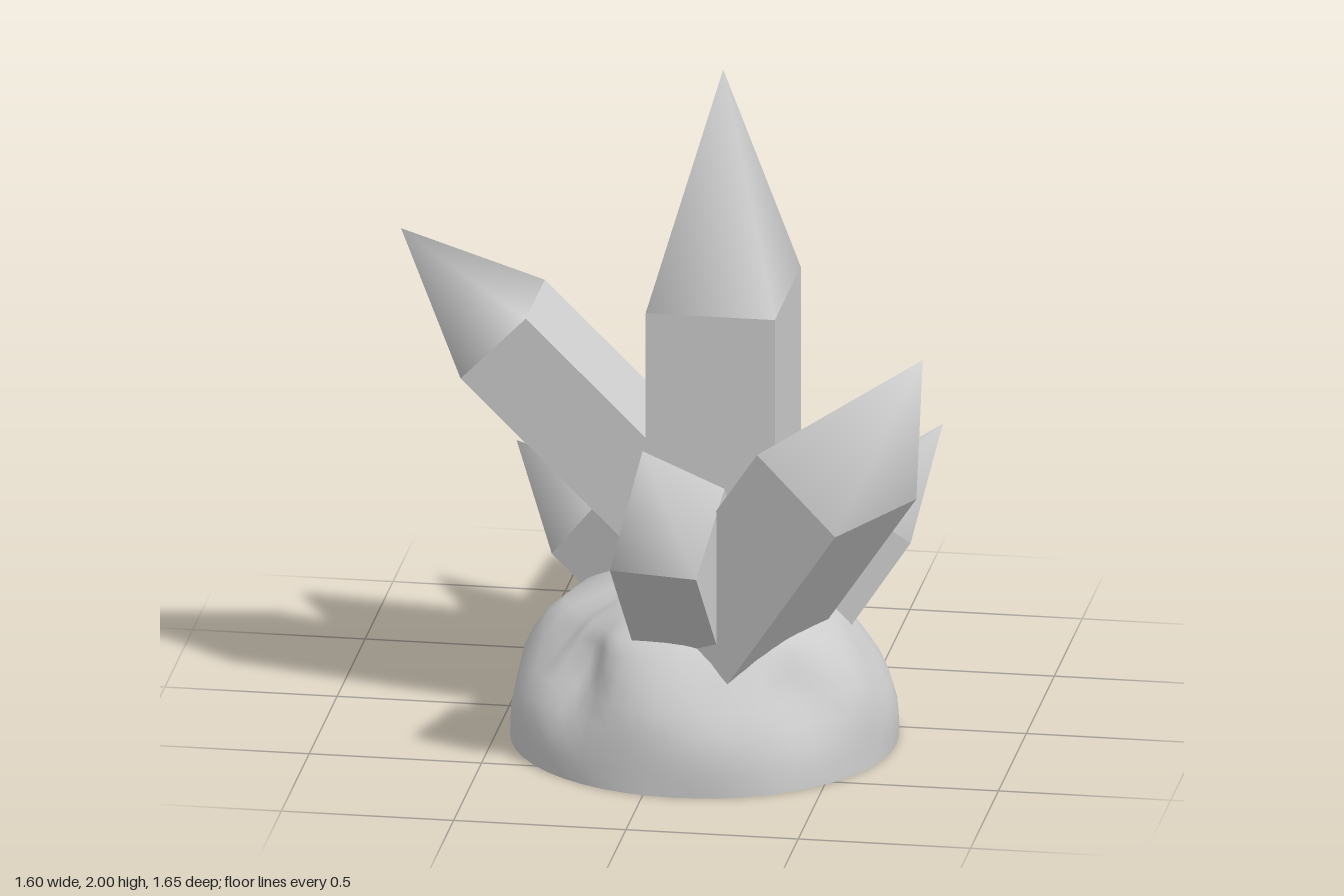
import * as THREE from 'three';
import { mergeVertices } from 'three/addons/utils/BufferGeometryUtils.js';

const material = new THREE.MeshStandardMaterial({ color: 0xcccccc });
const ROCK = { x: 0.09, z: 0.15, radius: 0.557 };

// Shared vertices give soft, continuous normals
function smooth(geometry) {
  geometry.deleteAttribute('normal');
  geometry.deleteAttribute('uv');
  const merged = mergeVertices(geometry, 1e-4);
  merged.computeVertexNormals();
  return merged;
}

// Four-sided prism with a pyramid point. shoulder = centre of the seam between
// the two, side = direction of the width, baseY = height of the buried end.
function crystal({ name, shoulder, tip, side, width, depth, baseY = 0.25 }) {
  const centre = new THREE.Vector3(...shoulder);
  const axis = new THREE.Vector3(...tip).sub(centre);
  const tipLength = axis.length();
  axis.normalize();
  const z = new THREE.Vector3(...side).cross(axis).normalize();
  const x = axis.clone().cross(z);
  const length = (centre.y - baseY) / axis.y;

  const group = new THREE.Group();
  group.name = name;
  const shaft = new THREE.Mesh(new THREE.BoxGeometry(width, length, depth), material);
  shaft.name = 'crystalShaft';
  shaft.position.y = -length / 2;

  const cone = new THREE.ConeGeometry(Math.SQRT1_2, tipLength, 4, 1, true);
  cone.rotateY(Math.PI / 4);
  cone.scale(width, 1, depth);
  const point = new THREE.Mesh(smooth(cone), material);
  point.name = 'crystalPoint';
  point.position.y = tipLength / 2;

  group.add(shaft, point);
  group.quaternion.setFromRotationMatrix(new THREE.Matrix4().makeBasis(x, axis, z));
  group.position.copy(centre);
  return group;
}

// Dents in the rock: angle from +z towards +x, height, depth, spread
const DENTS = [
  [-0.75, 0.30, 0.07, 0.16],
  [-1.15, 0.36, 0.05, 0.14],
  [0.75, 0.27, 0.04, 0.2],
  [2.55, 0.32, 0.09, 0.17],
  [2.0, 0.36, 0.04, 0.15],
  [-2.5, 0.3, 0.05, 0.2],
];

// Lumpy mound: a lathe with its radius moved in and out
function rock() {
  const profile = [
    [0.557, 0], [0.556, 0.06], [0.55, 0.12], [0.535, 0.18], [0.51, 0.24], [0.475, 0.3],
    [0.435, 0.36], [0.39, 0.4], [0.32, 0.43], [0.22, 0.48], [0.11, 0.51], [0, 0.52],
  ].map(([r, y]) => new THREE.Vector2(r, y));
  const geometry = new THREE.LatheGeometry(profile, 48);
  const p = geometry.attributes.position;
  for (let i = 0; i < p.count; i++) {
    const x = p.getX(i), y = p.getY(i), z = p.getZ(i);
    const r = Math.hypot(x, z);
    if (r < 1e-6) continue;
    const a = Math.atan2(x, z);
    const fade = Math.min(1, y / 0.25) * Math.min(1, r / 0.3);
    let offset = 0.012 * Math.sin(5 * a + 9 * y) + 0.009 * Math.sin(9 * a - 14 * y + 1);
    for (const [angle, height, deep, spread] of DENTS) {
      const da = Math.atan2(Math.sin(a - angle), Math.cos(a - angle));
      offset -= deep * Math.exp(-((da / spread) ** 2) - ((y - height) / 0.12) ** 2);
    }
    const k = (r + offset * fade) / r;
    p.setXYZ(i, x * k, y, z * k);
  }
  const group = new THREE.Group();
  group.name = 'rockBase';
  const mound = new THREE.Mesh(smooth(geometry), material);
  mound.name = 'rockMound';
  const underside = new THREE.Mesh(new THREE.CircleGeometry(ROCK.radius, 48), material);
  underside.name = 'rockUnderside';
  underside.rotation.x = Math.PI / 2;
  group.add(mound, underside);
  group.position.set(ROCK.x, 0, ROCK.z);
  return group;
}

const CRYSTALS = [
  { name: 'centralCrystal', shoulder: [0.135, 1.33, 0.09], tip: [0.135, 2, 0.09], side: [1, 0, 0], width: 0.375, depth: 0.465 },
  { name: 'rightCrystal', shoulder: [-0.505, 1.175, 0.09], tip: [-0.8, 1.465, 0.09], side: [1, 1, 0], width: 0.27, depth: 0.34, baseY: 0.35 },
  { name: 'frontLeftCrystal', shoulder: [0.53, 0.925, 0.495], tip: [0.8, 1.34, 0.62], side: [0.25, -0.19, 0.12], width: 0.335, depth: 0.41 },
  { name: 'frontCrystal', shoulder: [0.055, 0.775, 0.6], tip: [0.02, 1.09, 0.825], side: [0.255, 0, 0.04], width: 0.26, depth: 0.323 },
  { name: 'leftCrystal', shoulder: [0.575, 0.65, -0.015], tip: [0.75, 0.91, -0.05], side: [0.17, -0.115, -0.025], width: 0.207, depth: 0.257 },
  { name: 'backCrystal', shoulder: [0.12, 0.775, -0.545], tip: [0.12, 1.02, -0.83], side: [1, 0, 0], width: 0.243, depth: 0.3 },
  { name: 'backRightCrystal', shoulder: [-0.03, 0.88, -0.385], tip: [-0.13, 1.1, -0.55], side: [0.16, 0, -0.095], width: 0.187, depth: 0.232 },
  { name: 'smallRightCrystal', shoulder: [-0.285, 0.545, -0.13], tip: [-0.51, 0.74, -0.19], side: [0.07, 0, -0.18], width: 0.195, depth: 0.245 },
];

export function createModel() {
  const model = new THREE.Group();
  model.name = 'crystalCluster';
  model.add(rock(), ...CRYSTALS.map(crystal));
  return model;
}
